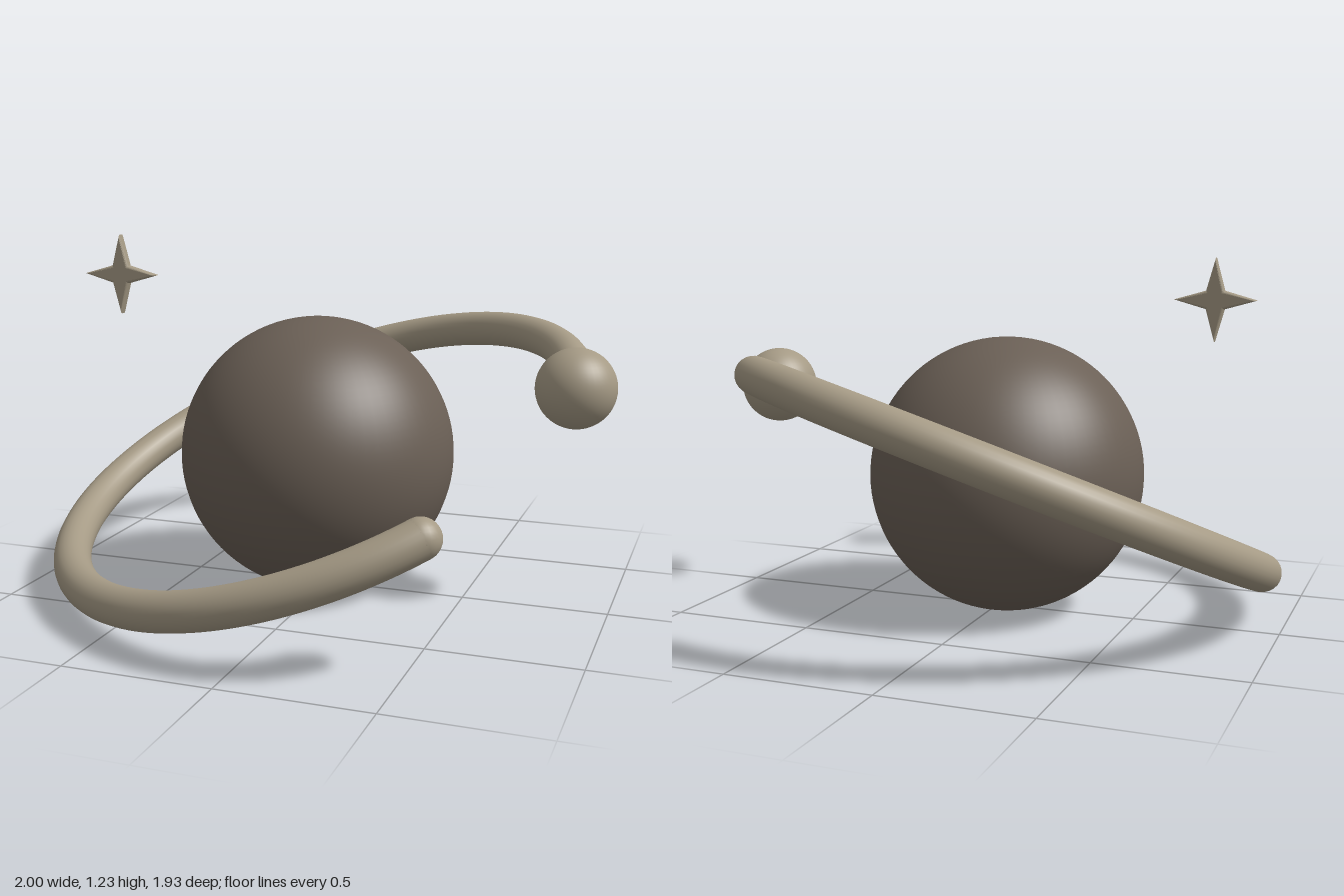
import * as THREE from 'three';

// Circular arc in a tilted plane, starting along e1 and turning towards e2
class OrbitArc extends THREE.Curve {
  constructor(center, e1, e2, radius, sweep) {
    super();
    Object.assign(this, { center, e1, e2, radius, sweep });
  }
  getPoint(t, target = new THREE.Vector3()) {
    const a = t * this.sweep;
    return target.copy(this.center)
      .addScaledVector(this.e1, this.radius * Math.cos(a))
      .addScaledVector(this.e2, this.radius * Math.sin(a));
  }
}

export function createModel() {
  const model = new THREE.Group();
  const darkTaupe = new THREE.MeshStandardMaterial({ color: 0x6b6056 });
  darkTaupe.name = 'darkTaupe';
  const paleTaupe = new THREE.MeshStandardMaterial({ color: 0xa59a85 });
  paleTaupe.name = 'paleTaupe';

  const add = (name, geometry, material, position) => {
    const mesh = new THREE.Mesh(geometry, material);
    mesh.name = name;
    if (position) mesh.position.copy(position);
    model.add(mesh);
  };

  // Planet
  const center = new THREE.Vector3(-0.035, 0.485, 0);
  add('planet', new THREE.SphereGeometry(0.48, 64, 48), darkTaupe, center);

  // Open orbit ring, tilted up to the back and the model's left
  const normal = new THREE.Vector3(-0.28, 0.918, 0.28).normalize();
  const e1 = new THREE.Vector3(0.9, 0.283, -0.02).projectOnPlane(normal).normalize();
  const e2 = new THREE.Vector3().crossVectors(normal, e1);
  const arc = new OrbitArc(center, e1, e2, 0.94, THREE.MathUtils.degToRad(304));
  const tube = 0.065;
  add('orbitRing', new THREE.TubeGeometry(arc, 160, tube, 24), paleTaupe);
  add('orbitEndCap', new THREE.SphereGeometry(tube, 24, 16), paleTaupe, arc.getPoint(1));

  // Moon on the start of the ring
  add('moon', new THREE.SphereGeometry(0.135, 40, 28), paleTaupe, arc.getPoint(0));

  // Four-pointed star with softened edges
  const star = new THREE.Shape();
  for (let i = 0; i < 8; i++) {
    const r = i % 2 ? 0.033 : 0.127;
    const a = i * Math.PI / 4;
    if (i) star.lineTo(r * Math.cos(a), r * Math.sin(a));
    else star.moveTo(r, 0);
  }
  const starGeometry = new THREE.ExtrudeGeometry(star, {
    depth: 0.013, bevelEnabled: true, bevelThickness: 0.011, bevelSize: 0.009, bevelSegments: 4,
  });
  starGeometry.translate(0, 0, -0.0065);
  add('star', starGeometry, paleTaupe, new THREE.Vector3(-0.738, 1.1, 0.102));

  return model;
}
